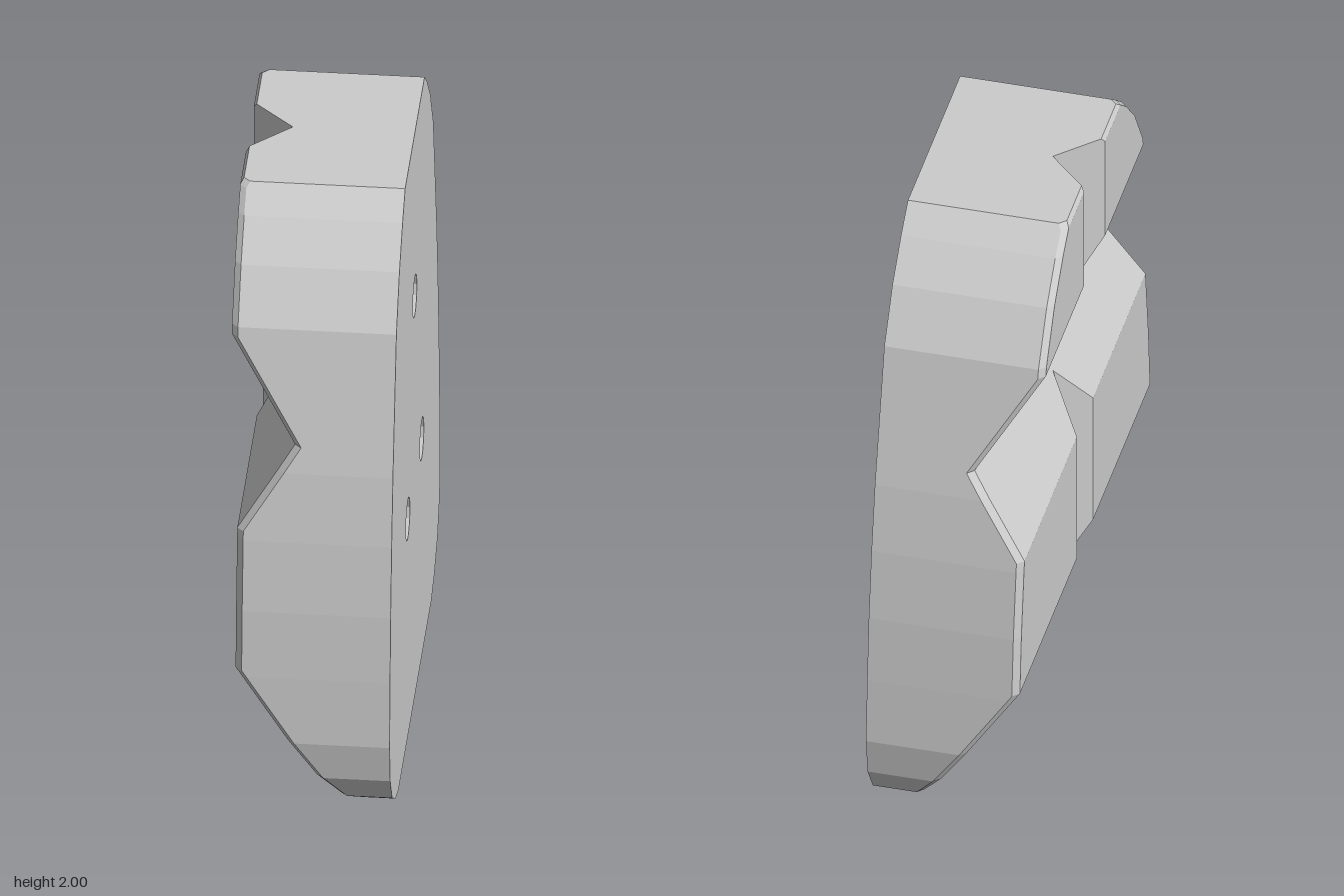
import * as THREE from 'three';

// Half width of the outline at each height: [y, half width]
const OUTLINE = [[0, 0.54], [0.03, 0.64], [0.1, 0.75], [0.2, 0.815], [0.33, 0.835], [0.55, 0.82], [0.77, 0.8],
  [1, 0.767], [1.22, 0.725], [1.66, 0.61], [1.82, 0.51], [1.93, 0.405], [2, 0.32]];
// Ridged face: [y, x]
const RIDGES = [[0, 0.16], [0.57, -0.22], [1.03, -0.22], [1.3, -0.05], [1.63, -0.25], [1.985, -0.25], [2, -0.24]];
const BACK = 0.25, GROOVE = -0.12, BEVEL = 0.02;
const HOLE_RADIUS = 0.068;
const HOLES = [[0, 1.42], [0.23, 0.77], [-0.23, 0.77]]; // [z, y]

// Straight-line interpolation in a table
function sample(table, y) {
  for (let i = 1; i < table.length; i++) {
    const [y0, v0] = table[i - 1], [y1, v1] = table[i];
    if (y <= y1) return v0 + (v1 - v0) * (y - y0) / (y1 - y0);
  }
  return table[table.length - 1][1];
}

// Horizontal cross-section: side, bevel, ridge face, V groove, then mirrored
function section(y) {
  const w = sample(OUTLINE, y), x = sample(RIDGES, y);
  const half = [[BACK, w], [x + BEVEL, w], [x, w - BEVEL], [x, Math.max(0, GROOVE - x)]];
  const mirrored = half.map(([px, pz]) => [px, -pz]).reverse();
  return [...half, [Math.max(x, GROOVE), 0], ...mirrored].map(([px, pz]) => [px, y, pz]);
}

function bodyGeometry() {
  // Extra rows at the heights where the groove runs out
  const grooveEnds = [0.42, 1.189, 1.4155];
  const heights = [...new Set([...OUTLINE, ...RIDGES].map((p) => p[0]).concat(grooveEnds))].sort((a, b) => a - b);
  const rows = heights.map(section);
  const positions = [];
  const tri = (a, b, c) => positions.push(...a, ...b, ...c);
  for (let j = 0; j < rows.length - 1; j++) {
    for (let i = 0; i < rows[j].length - 1; i++) {
      const a = rows[j][i], b = rows[j][i + 1], c = rows[j + 1][i + 1], d = rows[j + 1][i];
      tri(a, d, c);
      tri(a, c, b);
    }
  }
  // Flat bottom and top
  const bottom = rows[0], top = rows[rows.length - 1];
  for (let i = 0; i < bottom.length - 1; i++) {
    tri([BACK, 0, 0], bottom[i], bottom[i + 1]);
    tri([BACK, 2, 0], top[i + 1], top[i]);
  }
  const geometry = new THREE.BufferGeometry();
  geometry.setAttribute('position', new THREE.Float32BufferAttribute(positions, 3));
  geometry.computeVertexNormals();
  return geometry;
}

// Flat mounting face pierced by the holes
function backGeometry() {
  const right = OUTLINE.map(([y, w]) => new THREE.Vector2(w, y));
  const left = OUTLINE.map(([y, w]) => new THREE.Vector2(-w, y)).reverse();
  const shape = new THREE.Shape([...right, ...left]);
  for (const [z, y] of HOLES) {
    shape.holes.push(new THREE.Path().absarc(-z, y, HOLE_RADIUS, 0, Math.PI * 2, true));
  }
  return new THREE.ShapeGeometry(shape, 6).rotateY(Math.PI / 2).translate(BACK, 0, 0);
}

// Move inner vertices to a floor running parallel to the ridged face
function sinkToFloor(geometry) {
  const p = geometry.attributes.position;
  for (let i = 0; i < p.count; i++) {
    p.setX(i, p.getX(i) > 0.1 ? BACK : sample(RIDGES, p.getY(i)) + 0.06);
  }
  geometry.computeVertexNormals();
  return geometry;
}

export function createModel() {
  const group = new THREE.Group();
  group.name = 'ridgedBlock';
  const grey = new THREE.MeshStandardMaterial({ color: 0xcccccc, flatShading: true, side: THREE.DoubleSide });
  grey.name = 'light grey';

  const add = (name, geometry) => {
    const mesh = new THREE.Mesh(geometry, grey);
    mesh.name = name;
    group.add(mesh);
  };

  add('body', bodyGeometry());
  add('mountingFace', backGeometry());

  HOLES.forEach(([z, y], i) => {
    const wall = new THREE.CylinderGeometry(HOLE_RADIUS, HOLE_RADIUS, 0.5, 12, 1, true);
    add(`holeWall${i + 1}`, sinkToFloor(wall.rotateZ(Math.PI / 2).translate(0, y, z)));
    const floor = new THREE.CircleGeometry(HOLE_RADIUS, 12);
    add(`holeFloor${i + 1}`, sinkToFloor(floor.rotateY(Math.PI / 2).translate(0, y, z)));
  });
  return group;
}
